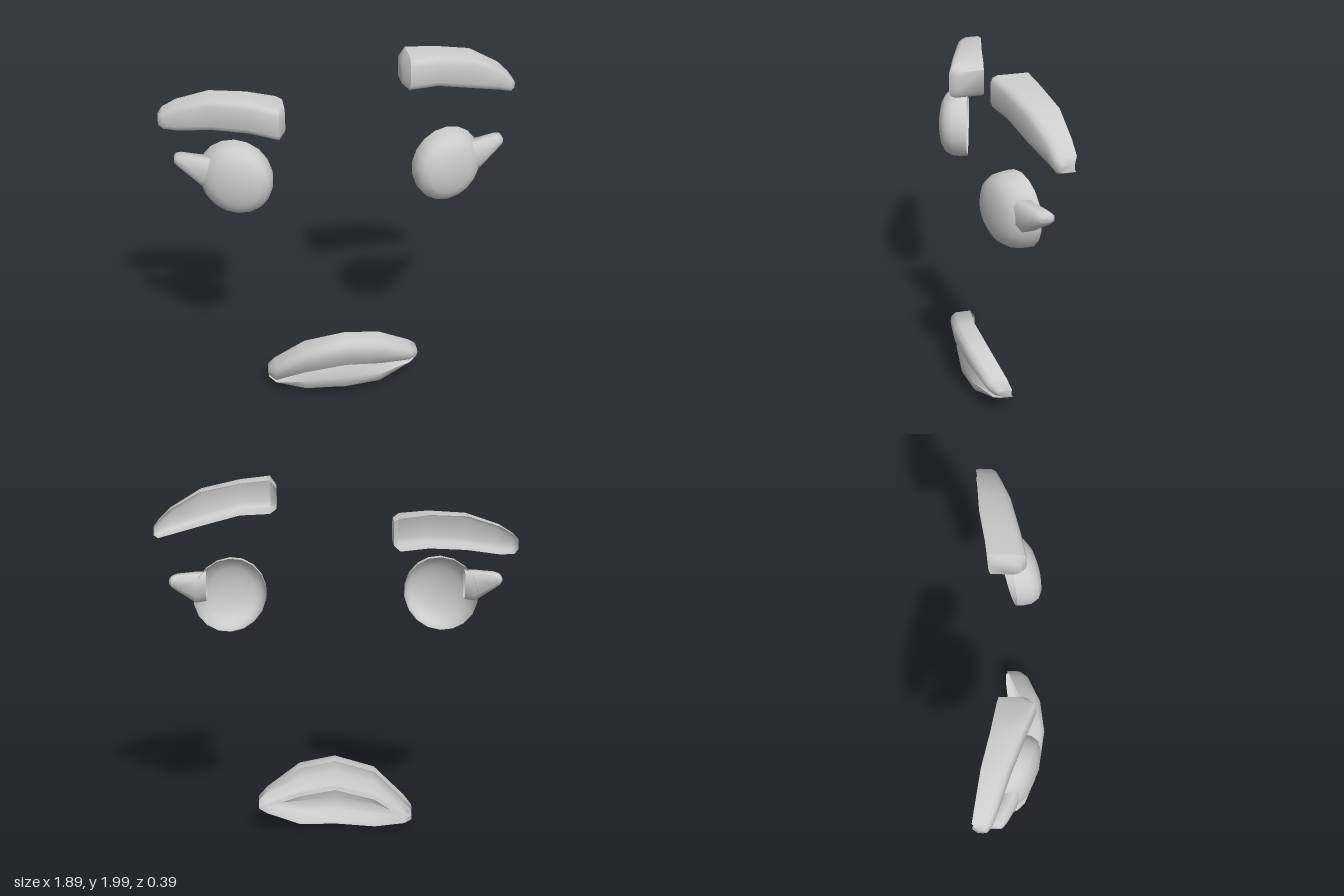
import * as THREE from 'three';
import { toCreasedNormals } from 'three/addons/utils/BufferGeometryUtils.js';

const material = new THREE.MeshStandardMaterial({ color: 0xcccccc, side: THREE.DoubleSide });

function part(name, geometry, crease = 0.9) {
  const mesh = new THREE.Mesh(toCreasedNormals(geometry, crease), material);
  mesh.name = name;
  return mesh;
}

// Skin a surface over stations { x, ring: [[z, y], ...] } running along +x.
function loft(stations, { closed = false, capStart = true, capEnd = true } = {}) {
  const n = stations[0].ring.length;
  const positions = [], index = [];
  for (const { x, ring } of stations) for (const [z, y] of ring) positions.push(x, y, z);
  for (let i = 0; i < stations.length - 1; i++) {
    for (let j = 0; j < (closed ? n : n - 1); j++) {
      const a = i * n + j, b = i * n + (j + 1) % n;
      index.push(a, b, a + n, b, b + n, a + n);
    }
  }
  const last = (stations.length - 1) * n;
  for (let j = 1; j < n - 1; j++) {
    if (capStart) index.push(0, j + 1, j);
    if (capEnd) index.push(last, last + j, last + j + 1);
  }
  const geometry = new THREE.BufferGeometry();
  geometry.setAttribute('position', new THREE.Float32BufferAttribute(positions, 3));
  geometry.setIndex(index);
  return geometry;
}

// Brow: rounded trough open at the back; rows are x, top, bottom, front z, back z
function brow(name, rows) {
  return part(name, loft(rows.map(([x, top, bottom, front, back]) => {
    const r = Math.min(0.035, (top - bottom) * 0.3);
    return { x, ring: [
      [back, top], [front - r, top], [front - r * 0.3, top - r * 0.3], [front, top - r],
      [front, bottom + r], [front - r * 0.3, bottom + r * 0.3], [front - r, bottom], [back, bottom],
    ] };
  })));
}

// Eye: shallow open dome swept back towards the temple
function eye() {
  const profile = [[1, 0], [1, 0.035], [0.95, 0.085], [0.82, 0.125], [0.6, 0.15], [0.3, 0.162], [0, 0.165]]
    .map(([r, d]) => new THREE.Vector2(r, d));
  const geometry = new THREE.LatheGeometry(profile, 18).rotateX(Math.PI / 2);
  const p = geometry.attributes.position;
  for (let i = 0; i < p.count; i++) {
    const x = p.getX(i) * 0.193;
    p.setXYZ(i, 0.563 + x, 1.37 + p.getY(i) * 0.2, p.getZ(i) - 0.03 - 0.28 * x);
  }
  return part('eye', geometry, 1.2);
}

// Eyelash: tapered horn at the outer corner, open where it enters the eye
function eyelash() {
  const rows = [
    // x, top, bottom, front z, back z
    [0.69, 1.49, 1.34, 0.05, -0.05],
    [0.745, 1.492, 1.335, 0.035, -0.065],
    [0.84, 1.492, 1.41, -0.01, -0.105],
    [0.868, 1.485, 1.432, -0.028, -0.11],
    [0.88, 1.472, 1.446, -0.04, -0.095],
  ];
  return part('eyelash', loft(rows.map(([x, top, bottom, front, back]) => {
    const r = (top - bottom) * 0.22, s = (front - back) * 0.22;
    return { x, ring: [
      [back + s, top], [front - s, top], [front, top - r], [front, bottom + r],
      [front - s, bottom], [back + s, bottom], [back, bottom + r], [back, top - r],
    ] };
  }), { closed: true, capStart: false }), 1.2);
}

// Lips: two open curved bands meeting at the seam, one corner raised
function mouth() {
  const rows = [
    // x, top, seam, bottom, front z, back z
    [-0.425, 0.135, 0.085, 0.07, 0.04, -0.03],
    [-0.385, 0.18, 0.065, 0.045, 0.085, -0.02],
    [-0.22, 0.323, 0.155, 0.008, 0.162, 0.045],
    [0, 0.38, 0.205, 0.012, 0.193, 0.075],
    [0.2, 0.35, 0.18, 0.025, 0.167, 0.05],
    [0.385, 0.235, 0.14, 0.115, 0.095, -0.015],
    [0.43, 0.195, 0.155, 0.145, 0.05, -0.03],
  ];
  const upper = rows.map(([x, top, seam, , front, back]) => {
    const h = top - seam, d = front - back;
    return { x, ring: [
      [back, top], [front - d * 0.25, top], [front - d * 0.05, top - h * 0.12],
      [front, top - h * 0.3], [front - d * 0.05, top - h * 0.6],
      [front - d * 0.4, seam], [front - d, seam + h * 0.05],
    ] };
  });
  const lower = rows.map(([x, , seam, bottom, front, back]) => {
    const h = seam - bottom, d = front - back;
    return { x, ring: [
      [front - d, seam], [front - d * 0.5, seam], [front - d * 0.28, seam - h * 0.4],
      [front - d * 0.38, seam - h * 0.75], [front - d * 0.9, bottom],
      [Math.max(back - 0.065, -0.04), bottom + h * 0.08],
    ] };
  });
  const group = new THREE.Group();
  group.name = 'mouth';
  group.add(part('upperLip', loft(upper), 1), part('lowerLip', loft(lower), 1));
  return group;
}

export function createModel() {
  const model = new THREE.Group();
  model.name = 'faceFeatures';

  // Raised left brow and lowered right brow, both written inner end first
  const leftBrow = brow('leftBrow', [
    [0.31, 1.955, 1.85, 0.04, -0.11],
    [0.345, 2.0, 1.825, 0.07, -0.12],
    [0.5, 1.988, 1.822, 0.035, -0.14],
    [0.7, 1.95, 1.775, -0.015, -0.175],
    [0.86, 1.86, 1.732, -0.07, -0.188],
    [0.92, 1.8, 1.717, -0.09, -0.195],
    [0.943, 1.77, 1.73, -0.11, -0.18],
  ]);
  const rightBrow = brow('rightBrow', [
    [0.305, 1.77, 1.64, 0.085, -0.06],
    [0.34, 1.787, 1.61, 0.125, -0.068],
    [0.49, 1.81, 1.632, 0.07, -0.095],
    [0.68, 1.81, 1.632, 0, -0.138],
    [0.85, 1.76, 1.613, -0.055, -0.165],
    [0.925, 1.715, 1.617, -0.085, -0.178],
    [0.95, 1.69, 1.637, -0.105, -0.15],
  ]);
  rightBrow.scale.x = -1;
  model.add(leftBrow, rightBrow);

  for (const [name, side] of [['leftEye', 1], ['rightEye', -1]]) {
    const group = new THREE.Group();
    group.name = name;
    group.add(eye(), eyelash());
    group.scale.x = side;
    model.add(group);
  }

  model.add(mouth());
  return model;
}
